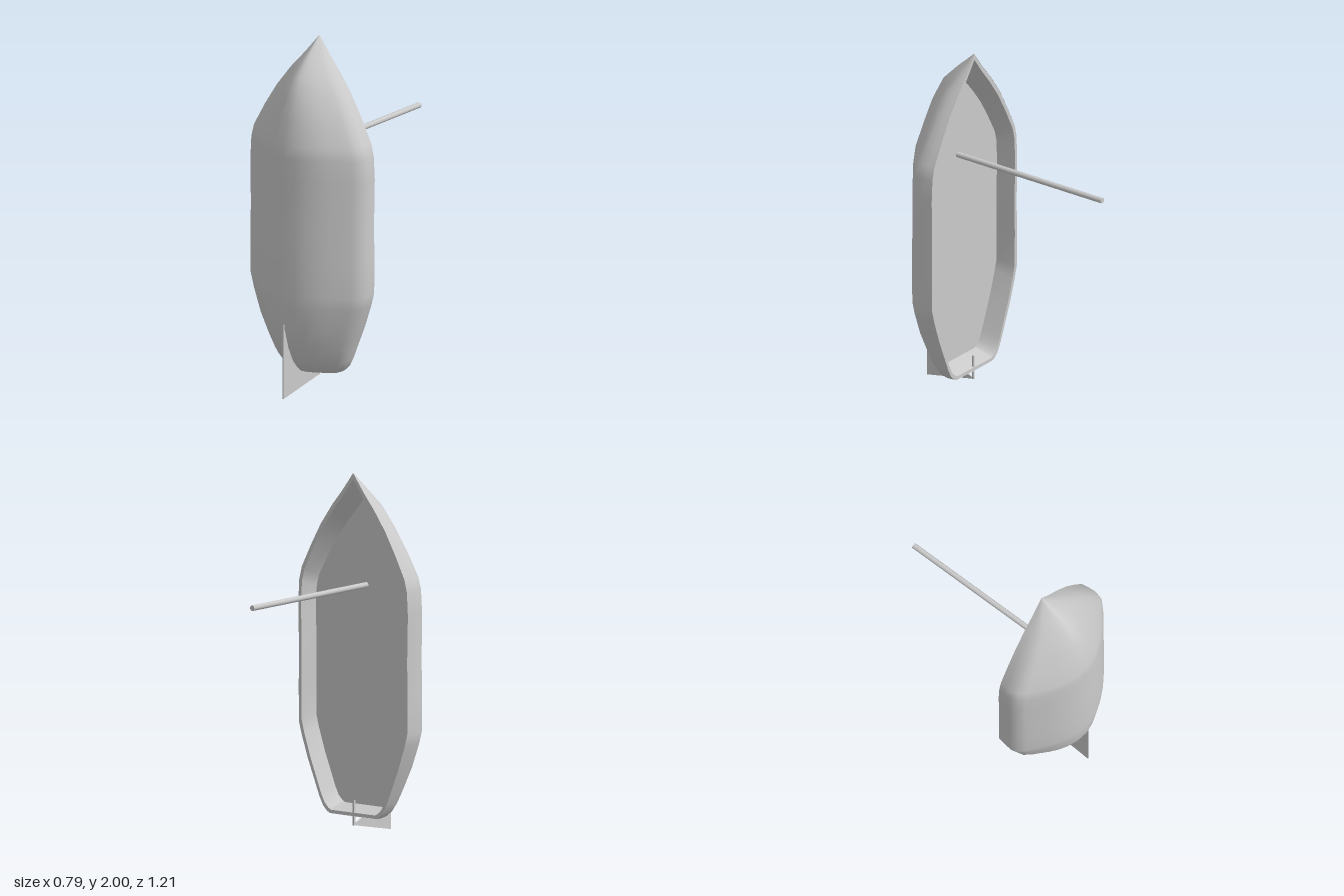
import * as THREE from 'three';

const RIM_Z = 0.275, FLOOR_Z = 0.39;

// Hull stations from bow to stern: [y, half width, keel z]
const stations = [
  [2.0, 0, 0.28], [1.95, 0.037, 0.335], [1.9, 0.075, 0.39], [1.81, 0.15, 0.478], [1.7, 0.23, 0.53],
  [1.58, 0.3, 0.562], [1.45, 0.368, 0.594], [1.38, 0.386, 0.598], [1.25, 0.393, 0.6], [1.0, 0.388, 0.604],
  [0.8, 0.39, 0.609], [0.6, 0.389, 0.606], [0.53, 0.37, 0.602], [0.4, 0.325, 0.588], [0.28, 0.275, 0.553],
  [0.2, 0.242, 0.515], [0.15, 0.215, 0.475], [0.122, 0.185, 0.44], [0.113, 0.165, 0.41], [0.11, 0, 0.29],
];
// Half cross-section from rim to keel: [depth fraction, width fraction]
const half = [[0, 0.97], [0.12, 0.99], [0.25, 1], [0.38, 0.97], [0.48, 0.89], [0.58, 0.78],
  [0.7, 0.65], [0.81, 0.51], [0.9, 0.36], [0.97, 0.19], [1, 0]];

function loft(rows) {
  const n = rows[0].length, index = [];
  for (let i = 0; i < rows.length - 1; i++) {
    for (let j = 0; j < n - 1; j++) {
      const a = i * n + j, c = a + n;
      index.push(a, c, a + 1, a + 1, c, c + 1);
    }
  }
  const g = new THREE.BufferGeometry();
  g.setAttribute('position', new THREE.Float32BufferAttribute(rows.flat(2), 3));
  g.setIndex(index);
  g.computeVertexNormals();
  return g;
}

function hullSection([y, w, keel]) {
  const vee = THREE.MathUtils.clamp((y - 1.55) / 0.45, 0, 1) * 0.6; // sharper towards the bow
  const side = half.map(([f, x]) => [
    w * THREE.MathUtils.lerp(x, 1 - f * f, vee), y, RIM_Z + f * (keel - RIM_Z)]);
  const right = side.map(([x, yy, z]) => [-x, yy, z]);
  return [...right, ...side.slice(0, -1).reverse()];
}

// Deck outline, shrunk about the middle of the hull
function outline(sx, sTop, sBottom) {
  const pts = stations.slice(0, -1).map(([y, w]) => [
    w * 0.97 * sx, 1.05 + (y - 1.05) * (y > 1.05 ? sTop : sBottom)]);
  const mirrored = pts.slice(1).reverse().map(([x, y]) => [-x, y]);
  return [...pts, ...mirrored].map(([x, y]) => new THREE.Vector2(x, y));
}

export function createModel() {
  const group = new THREE.Group();
  const solid = new THREE.MeshStandardMaterial({ color: 0xcccccc });
  const thin = new THREE.MeshStandardMaterial({ color: 0xcccccc, side: THREE.DoubleSide });
  const add = (name, geometry, material = solid) => {
    const mesh = new THREE.Mesh(geometry, material);
    mesh.name = name;
    group.add(mesh);
    return mesh;
  };

  // Outer shell with the closed stern
  add('hull', loft(stations.map(hullSection)), thin);

  // Narrow rim around the opening
  const inner = outline(0.95, 0.965, 0.98);
  const rim = new THREE.Shape(outline(1, 1, 1));
  rim.holes.push(new THREE.Path(inner));
  add('rim', new THREE.ShapeGeometry(rim), thin).position.z = RIM_Z;

  // Inner walls sloping down to a flat floor
  const floorLine = outline(0.92, 0.86, 0.95);
  const ring = (pts, z) => [...pts, pts[0]].map((p) => [p.x, p.y, z]);
  add('innerWall', loft([ring(inner, RIM_Z), ring(floorLine, FLOOR_Z)]), thin);
  add('floor', new THREE.ShapeGeometry(new THREE.Shape(floorLine)), thin).position.z = FLOOR_Z;

  // Mast
  const mastLength = FLOOR_Z + 0.6;
  const mastGeometry = new THREE.CylinderGeometry(0.016, 0.016, mastLength, 8);
  mastGeometry.rotateX(-Math.PI / 2);
  add('mast', mastGeometry).position.set(0, 1.37, FLOOR_Z - mastLength / 2);

  // Thin rudder blade under the stern, drawn in (z, y)
  const blade = new THREE.Shape([[0.597, 0], [0.597, 0.43], [0.45, 0.3], [0.4, 0.116], [0.3, 0.074], [0.28, 0.062]]
    .map(([z, y]) => new THREE.Vector2(z, y)));
  const bladeGeometry = new THREE.ExtrudeGeometry(blade, { depth: 0.008, bevelEnabled: false });
  bladeGeometry.rotateY(-Math.PI / 2);
  add('rudder', bladeGeometry).position.x = 0.004;

  // Tiller post at the rim
  add('tiller', new THREE.BoxGeometry(0.01, 0.14, 0.012)).position.set(0, 0.13, 0.283);

  return group;
}
